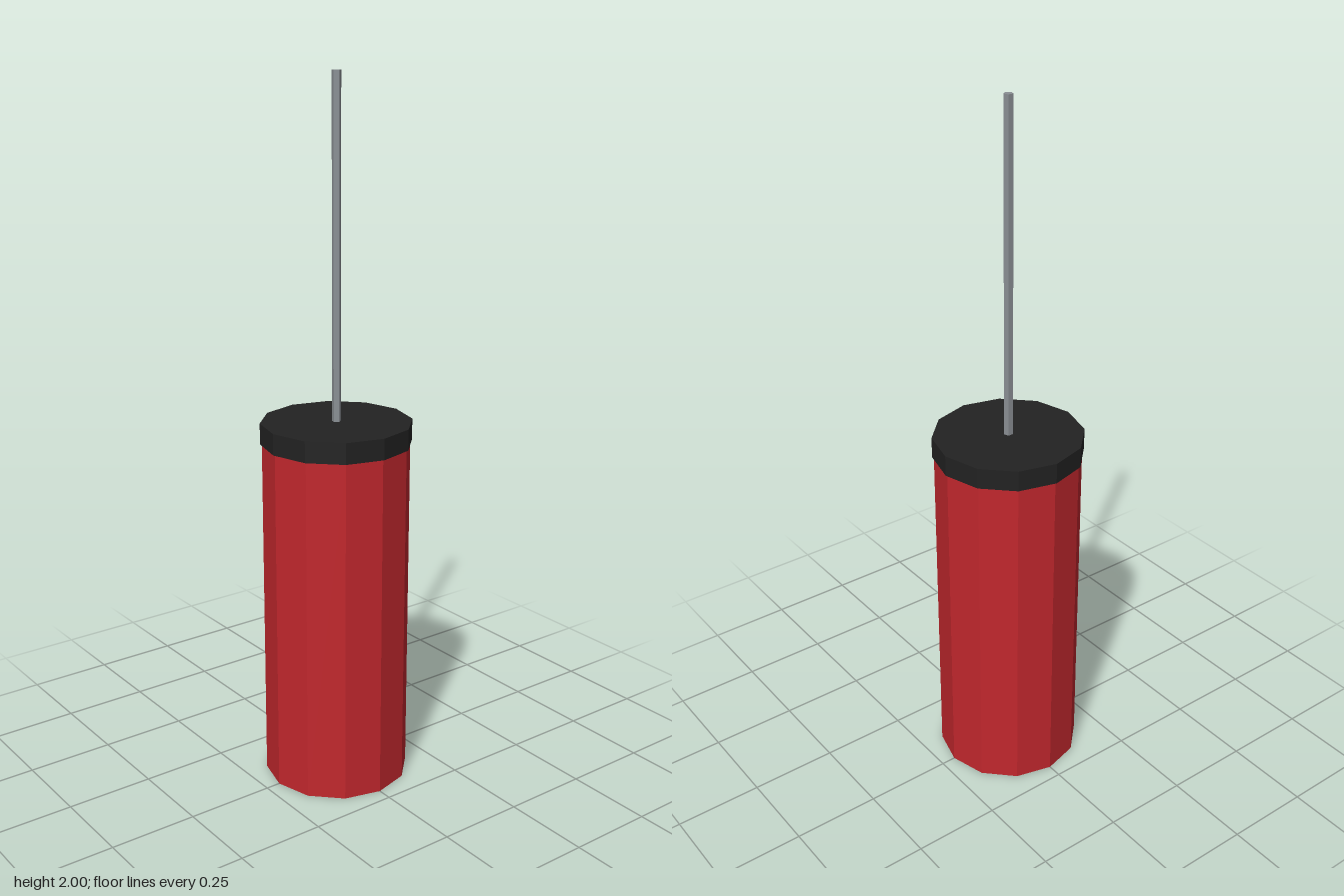
import * as THREE from 'three';

// Faceted upright cylinder spanning y0 to y1
function addCylinder(group, name, radius, y0, y1, sides, color) {
  const geometry = new THREE.CylinderGeometry(radius, radius, y1 - y0, sides);
  const material = new THREE.MeshStandardMaterial({ color, flatShading: true });
  const mesh = new THREE.Mesh(geometry, material);
  mesh.name = name;
  mesh.position.y = (y0 + y1) / 2;
  group.add(mesh);
}

export function createModel() {
  const group = new THREE.Group();
  group.name = 'canisterWithRod';

  addCylinder(group, 'body', 0.208, 0, 1.0, 12, 0xc1272d);
  addCylinder(group, 'lid', 0.213, 1.0, 1.06, 12, 0x222222);
  // Thin five-sided rod standing on the lid
  addCylinder(group, 'rod', 0.013, 1.06, 2.0, 5, 0x8a8f94);

  return group;
}
